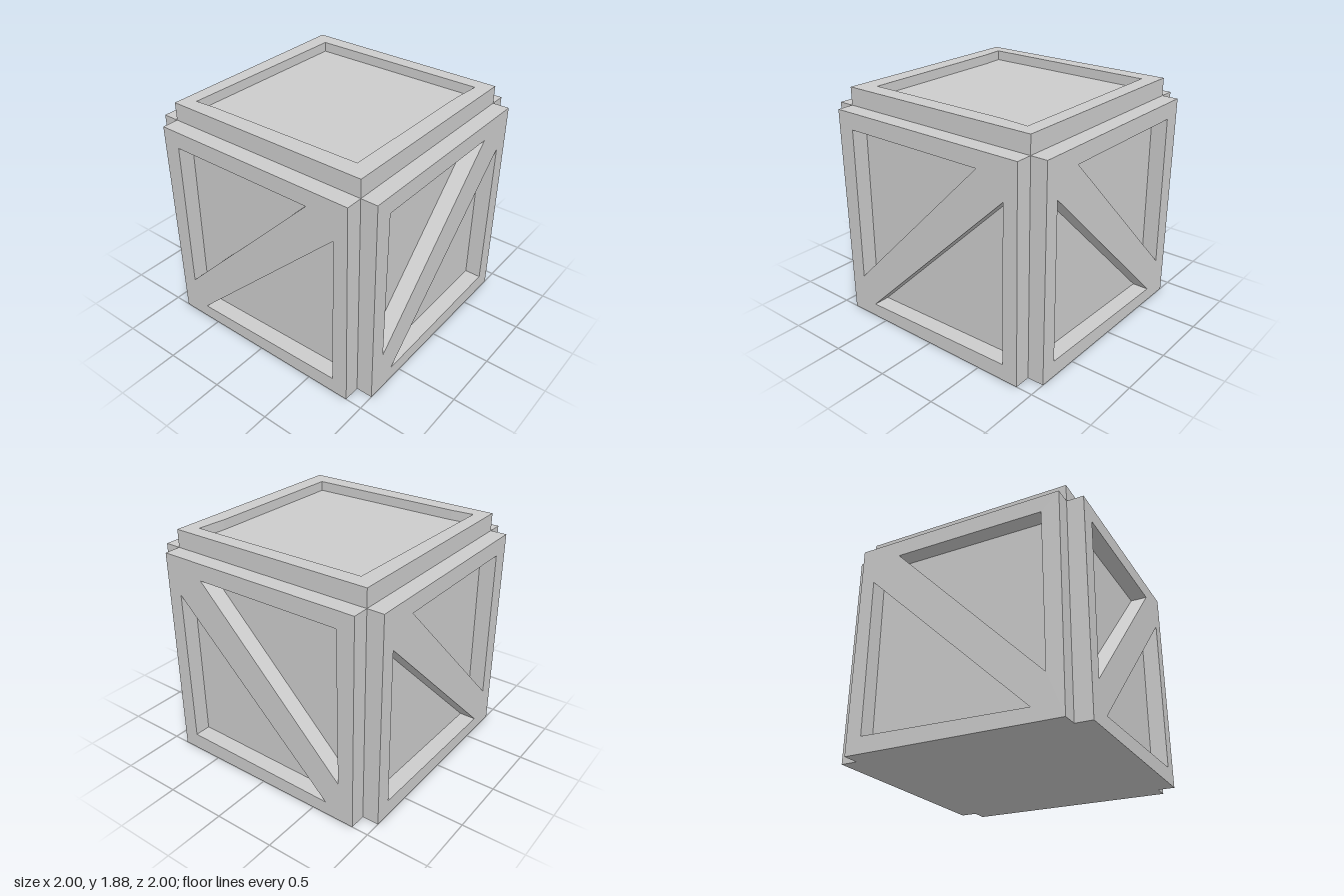
import * as THREE from 'three';

const HALF = 0.865, THICK = 0.135, TOP = 1.735;

// Rectangular board with polygonal openings, extruded along +z
function boardGeometry(y0, y1, openings) {
  const pts = (list) => list.map(([x, y]) => new THREE.Vector2(x, y));
  const shape = new THREE.Shape(pts([[-HALF, y0], [HALF, y0], [HALF, y1], [-HALF, y1]]));
  shape.holes = openings.map((o) => new THREE.Path(pts(o)));
  return new THREE.ExtrudeGeometry(shape, { depth: THICK, bevelEnabled: false });
}

export function createModel() {
  const group = new THREE.Group();
  group.name = 'crate';
  const grey = new THREE.MeshStandardMaterial({ color: 0xcccccc });
  grey.name = 'light grey';

  const add = (name, geometry, x = 0, y = 0, z = 0) => {
    const mesh = new THREE.Mesh(geometry, grey);
    mesh.name = name;
    mesh.position.set(x, y, z);
    group.add(mesh);
    return mesh;
  };

  // Solid body behind the frames
  add('core', new THREE.BoxGeometry(2 * HALF, TOP, 2 * HALF), 0, TOP / 2, 0);

  // Side frames: two slightly uneven triangular openings leave a diagonal brace
  const sideFrame = boardGeometry(0, TOP, [
    [[-0.72, 1.6], [0.515, 1.6], [-0.735, 0.335]],
    [[0.745, 1.42], [0.735, 0.135], [-0.62, 0.11]],
  ]);
  add('frontFrame', sideFrame, 0, 0, HALF);
  add('backFrame', sideFrame, 0, 0, -HALF - THICK);
  add('leftFrame', sideFrame, HALF, 0, 0).rotation.y = Math.PI / 2;
  add('rightFrame', sideFrame, -HALF - THICK, 0, 0).rotation.y = Math.PI / 2;

  // Lid rim with one uneven opening, and the recessed panel inside it
  const lidRim = boardGeometry(-HALF, HALF, [
    [[-0.73, 0.74], [0.75, 0.75], [0.73, 0.51], [0.725, -0.72], [-0.57, -0.735], [-0.755, -0.75]],
  ]);
  add('lidRim', lidRim, 0, TOP + 0.01, 0).rotation.x = -Math.PI / 2;
  add('lidPanel', new THREE.BoxGeometry(1.7, 0.065, 1.7), 0, TOP + 0.0325, 0);

  // Rim rests on the core
  group.getObjectByName('lidRim').position.y = TOP;
  group.getObjectByName('lidRim').scale.z = 0.145 / THICK;
  return group;
}
